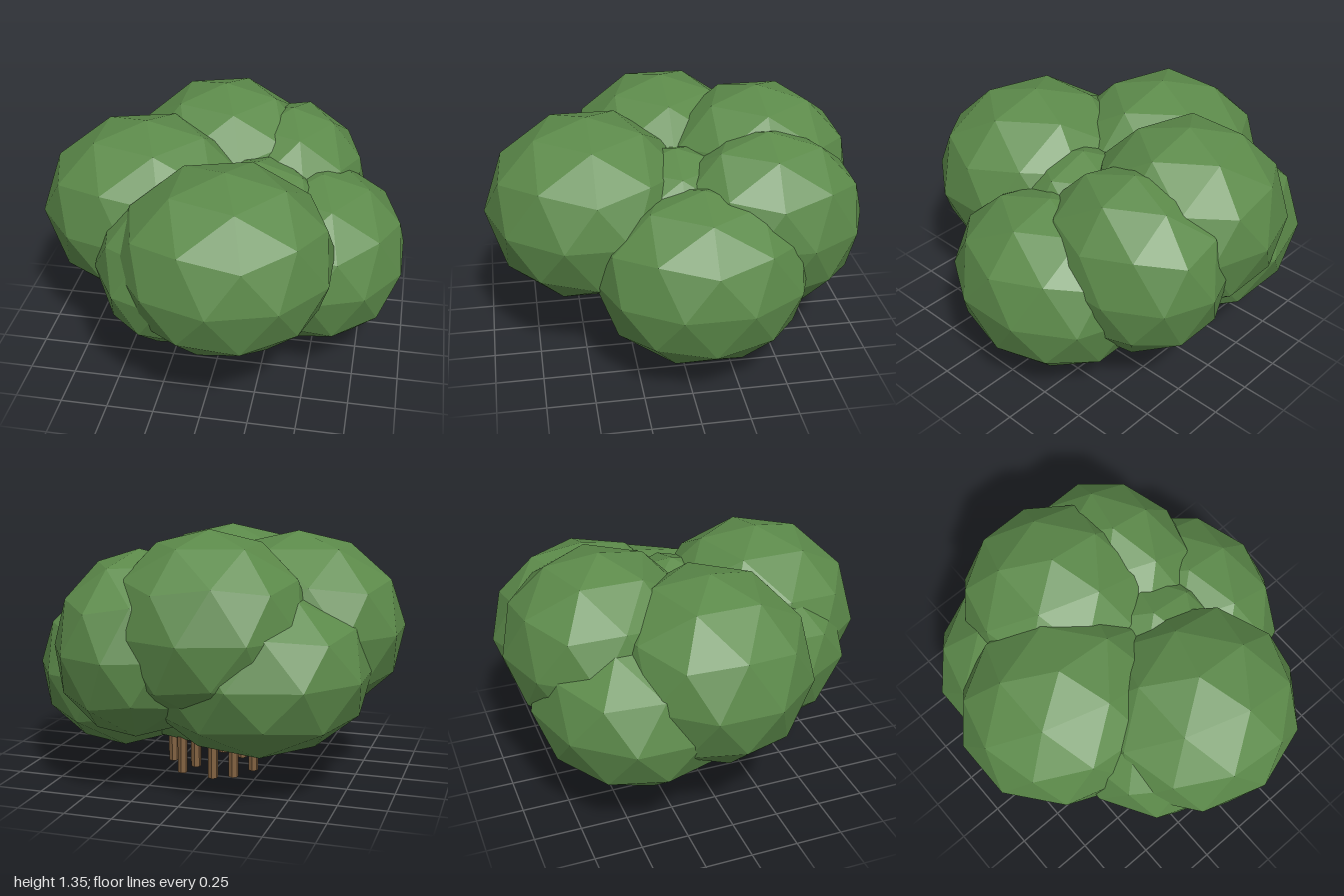
import * as THREE from 'three';

export function createModel() {
  const group = new THREE.Group();
  const leafMat = new THREE.MeshStandardMaterial({ color: 0x5c8a4a, flatShading: true });
  const woodMat = new THREE.MeshStandardMaterial({ color: 0x80603f, flatShading: true });

  // Faceted ball with a vertex at each pole
  const ball = new THREE.IcosahedronGeometry(1, 1);
  ball.rotateX(-Math.atan((1 + Math.sqrt(5)) / 2));
  ball.rotateY(Math.PI / 2);

  // Foliage clumps: name, centre, radii
  const clumps = [
    ['frontFoliage', [0.08, 0.8, 0.445], [0.57, 0.49, 0.55]],
    ['rightFoliage', [-0.42, 0.81, -0.015], [0.578, 0.5, 0.53]],
    ['backFoliage', [-0.08, 0.86, -0.48], [0.53, 0.49, 0.52]],
    ['backLeftFoliage', [0.3, 0.75, -0.46], [0.43, 0.49, 0.52]],
    ['leftFoliage', [0.51, 0.57, -0.09], [0.48, 0.47, 0.56]],
    ['backRightFoliage', [-0.29, 0.64, -0.38], [0.6, 0.45, 0.54]],
    ['frontRightFoliage', [-0.18, 0.7, 0.31], [0.44, 0.43, 0.54]],
    ['centreFoliage', [0.18, 0.62, 0], [0.44, 0.51, 0.52]],
  ];
  for (const [name, centre, radii] of clumps) {
    const clump = new THREE.Mesh(ball, leafMat);
    clump.name = name;
    clump.position.set(...centre);
    clump.scale.set(...radii);
    group.add(clump);
  }

  // Thin stems, hidden in the foliage at the top
  const stemGeo = new THREE.CylinderGeometry(0.027, 0.027, 0.5, 6);
  stemGeo.translate(0, 0.25, 0);
  const stems = [
    [0.275, -0.05], [0.05, 0.17], [0.15, -0.02], [0.12, -0.12], [-0.08, 0.11],
    [0.155, -0.24], [-0.2, -0.09], [-0.03, -0.28], [-0.13, -0.23],
  ];
  for (const [x, z] of stems) {
    const stem = new THREE.Mesh(stemGeo, woodMat);
    stem.name = 'stem';
    stem.position.set(x, 0, z);
    group.add(stem);
  }
  return group;
}
